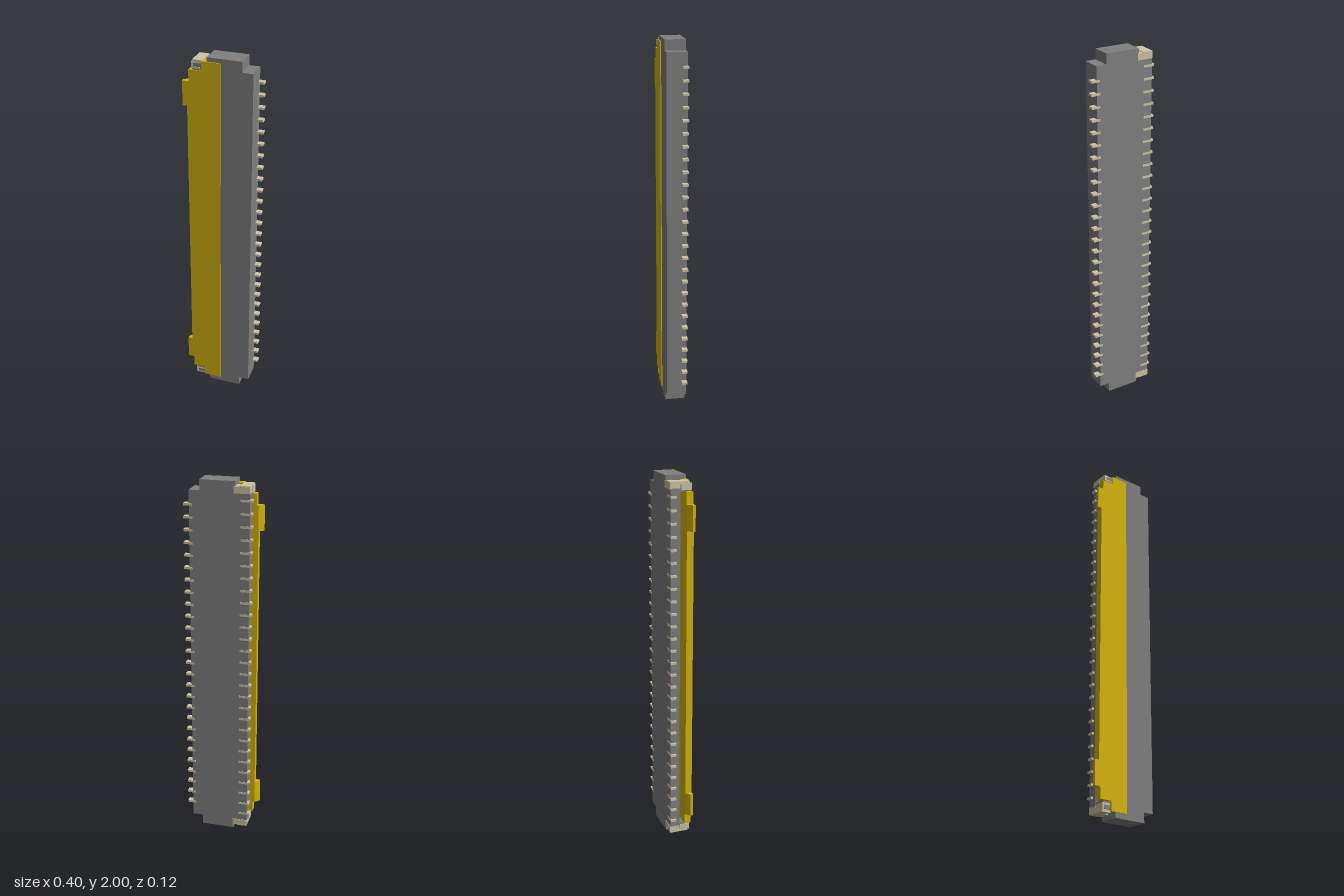
import * as THREE from 'three';

const mat = (color) => new THREE.MeshStandardMaterial({ color, flatShading: true });

const shapeOf = (pts) => new THREE.Shape(pts.map(([x, y]) => new THREE.Vector2(x, y)));

// Extrudes an [x, z] cross-section upward from y0 to y1.
function prism(section, y0, y1) {
  const geo = new THREE.ExtrudeGeometry(shapeOf(section.map(([x, z]) => [x, -z])), { depth: y1 - y0, bevelEnabled: false });
  return geo.rotateX(-Math.PI / 2).translate(0, y0, 0);
}

// Box given by its limits on each axis.
function block(x0, x1, y0, y1, z0, z1) {
  return new THREE.BoxGeometry(x1 - x0, y1 - y0, z1 - z0)
    .translate((x0 + x1) / 2, (y0 + y1) / 2, (z0 + z1) / 2);
}

export function createModel() {
  const model = new THREE.Group();
  const plastic = mat(0x808080);
  const yellow = mat(0xd6b50c);
  const metal = mat(0xcfc3a5);

  const add = (name, geo, material, parent = model) => {
    const mesh = new THREE.Mesh(geo, material);
    mesh.name = name;
    parent.add(mesh);
    return mesh;
  };

  // Housing: tall block with a lower lip under the flap
  add('housing', prism([
    [-0.148, -0.056], [0.168, -0.056], [0.168, 0.052],
    [-0.002, 0.052], [-0.002, -0.005], [-0.148, -0.005],
  ], 0.055, 1.945), plastic);

  // Locking flap with stepped ends
  const flap = new THREE.Group();
  flap.name = 'lockingFlap';
  model.add(flap);
  const half = [[0, 0.975], [-0.098, 0.975], [-0.098, 0.925], [-0.165, 0.925], [-0.165, 0.865], [-0.175, 0.865]];
  const outline = [
    ...half.map(([x, y]) => [x, 1.003 + y]),
    ...half.slice().reverse().map(([x, y]) => [x, 1.003 - y]),
  ];
  add('flapPlate', new THREE.ExtrudeGeometry(shapeOf(outline), { depth: 0.037, bevelEnabled: false })
    .translate(0, 0, 0.02), yellow, flap);

  // Parts repeated at the bottom and top ends
  for (const top of [false, true]) {
    const side = top ? 'top' : 'bottom';
    const span = (a, b) => (top ? [2 - b, 2 - a] : [a, b]);

    add(side + 'EndBlock', block(-0.07, 0.112, ...span(0, 0.056), -0.056, 0.052), plastic);
    add(side + 'EndPost', block(-0.146, -0.097, ...span(0.036, 0.075), -0.05, 0.052), plastic);

    // Chamfered finger tab of the flap
    add(side + 'FlapTab', prism([
      [-0.17, 0.02], [-0.175, 0.02], [-0.199, 0.042], [-0.199, 0.057], [-0.17, 0.057],
    ], ...(top ? [1.735, 1.867] : [0.14, 0.272])), yellow, flap);

    // Bent metal clip wrapped around the post
    const clip = new THREE.Group();
    clip.name = side + 'Clip';
    model.add(clip);
    add('clipPlate', block(-0.148, -0.095, ...span(0.022, 0.036), -0.058, 0.045), metal, clip);
    add('clipReturn', block(-0.148, -0.105, ...span(0.055, 0.065), 0.0, 0.054), metal, clip);
    add('clipSide', block(-0.15, -0.14, ...span(0.03, 0.065), 0.0, 0.054), metal, clip);
    add('clipFoot', block(-0.148, -0.065, ...span(0.025, 0.06), -0.059, -0.005), metal, clip);
  }

  // Two staggered rows of contacts
  const pitch = 1.735 / 26;
  const contacts = new THREE.Group();
  contacts.name = 'contacts';
  model.add(contacts);
  const row = (name, count, x0, x1) => {
    for (let i = 0; i < count; i++) {
      const y = 1.003 + (i - (count - 1) / 2) * pitch;
      add(name, block(x0, x1, y - 0.006, y + 0.006, -0.058, -0.027), metal, contacts);
    }
  };
  row('leftContact', 27, 0.15, 0.198);
  row('rightContact', 28, -0.16, -0.1);

  return model;
}
